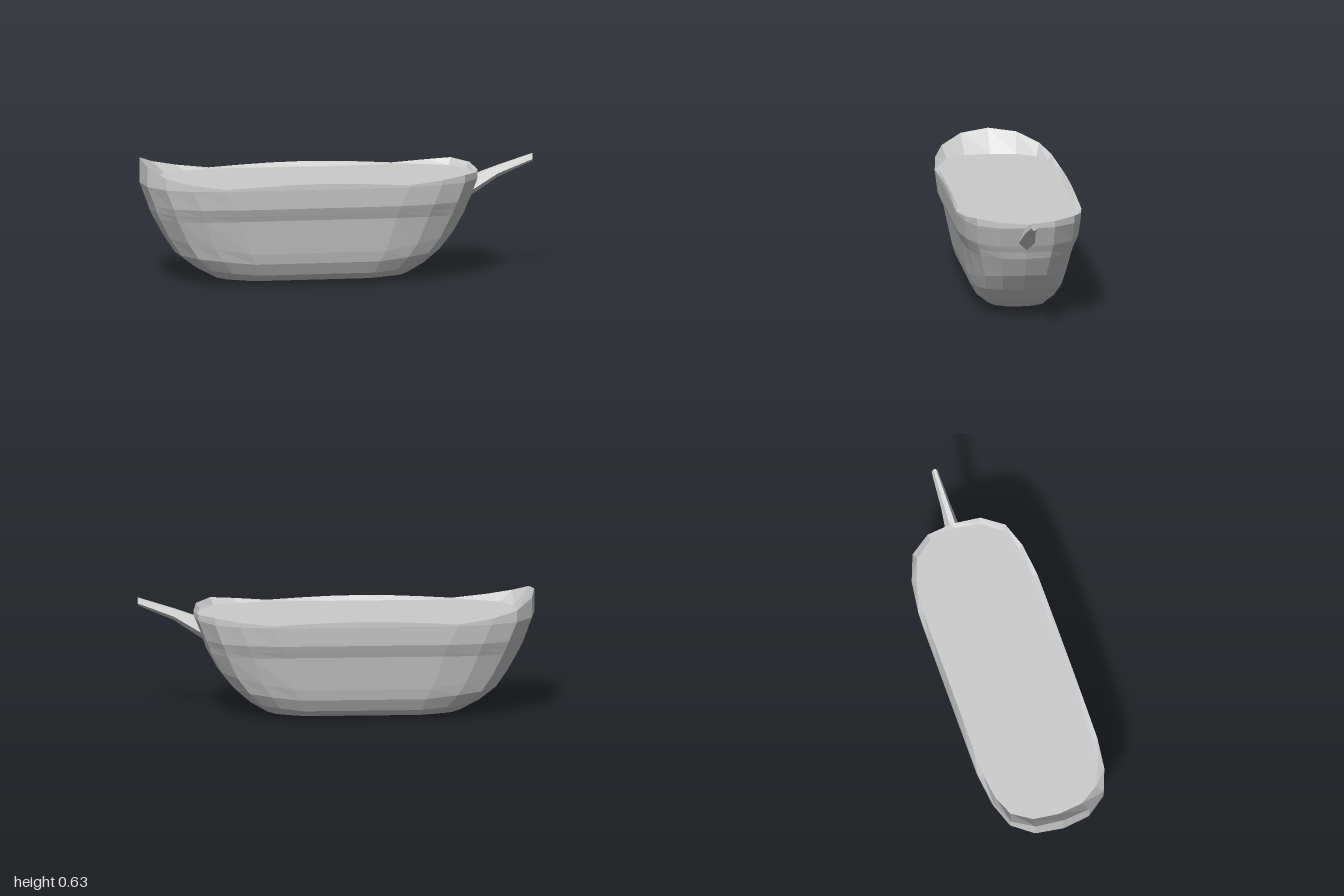
import * as THREE from 'three';

const material = new THREE.MeshStandardMaterial({ color: 0xcccccc, flatShading: true, side: THREE.DoubleSide });

// Joins equal-length closed rings into a skin, with optional flat caps
function loft(name, rings, capStart, capEnd) {
  const n = rings[0].length, pos = rings.flat(2), index = [];
  for (let r = 0; r < rings.length - 1; r++) {
    for (let i = 0; i < n; i++) {
      const a = r * n + i, b = r * n + (i + 1) % n;
      index.push(a, a + n, b, b, a + n, b + n);
    }
  }
  const cap = (r, flip) => {
    const c = pos.length / 3;
    for (let k = 0; k < 3; k++) pos.push(rings[r].reduce((s, p) => s + p[k], 0) / n);
    for (let i = 0; i < n; i++) {
      const a = r * n + i, b = r * n + (i + 1) % n;
      index.push(c, flip ? b : a, flip ? a : b);
    }
  };
  if (capStart) cap(0, false);
  if (capEnd) cap(rings.length - 1, true);
  const g = new THREE.BufferGeometry();
  g.setAttribute('position', new THREE.Float32BufferAttribute(pos, 3));
  g.setIndex(index);
  g.computeVertexNormals();
  const mesh = new THREE.Mesh(g, material);
  mesh.name = name;
  return mesh;
}

// Rounded end in plan: how far along, how wide, and the rim height there
const along = [0, 0.43, 0.75, 0.95, 1];
const wide = [1, 0.93, 0.78, 0.445, 0];
const bowRim = [0.517, 0.54, 0.57, 0.612, 0.63];
const sternRim = [0.517, 0.533, 0.549, 0.543, 0.532];
const SIDE = 6;

// Closed plan outline, starting at the bow tip and running along +z to the stern and back
function outline({ xl, xr, sl, sr, z, y, ye, rim }) {
  const half = [];
  const end = (tip, start, heights, i) => half.push([
    start + (tip - start) * along[i],
    rim ? heights[i] : y + (ye - y) * along[i],
    z * wide[i],
  ]);
  for (let i = 4; i >= 0; i--) end(xl, sl, bowRim, i);
  for (let i = 1; i < SIDE; i++) {
    const t = i / SIDE;
    half.push([sl + (sr - sl) * t, rim ? 0.517 + 0.019 * Math.sin(Math.PI * t) : y, z]);
  }
  for (let i = 0; i <= 4; i++) end(xr, sr, sternRim, i);
  const back = half.slice(1, -1).reverse().map(([x, h, w]) => [x, h, -w]);
  return [...half, ...back];
}

export function createModel() {
  const group = new THREE.Group();

  // Hull levels: bow x, stern x, straight side from, to, half width, side height, end height
  const levels = [
    [-0.46, 0.18, -0.38, 0.12, 0.05, 0, 0],
    [-0.49, 0.21, -0.39, 0.13, 0.11, 0.008, 0.006],
    [-0.63, 0.36, -0.41, 0.15, 0.157, 0.02, 0.025],
    [-0.73, 0.45, -0.42, 0.17, 0.197, 0.052, 0.08],
    [-0.82, 0.53, -0.44, 0.19, 0.232, 0.115, 0.15],
    [-0.88, 0.6, -0.47, 0.22, 0.247, 0.17, 0.24],
    [-0.935, 0.655, -0.53, 0.27, 0.281, 0.345, 0.34],
    [-0.95, 0.667, -0.54, 0.28, 0.294, 0.375, 0.375],
    [-0.962, 0.683, -0.55, 0.29, 0.308, 0.41, 0.41],
    [-1, 0.72, -0.6, 0.33, 0.317, 0.507, 0.512],
  ].map(([xl, xr, sl, sr, z, y, ye]) => outline({ xl, xr, sl, sr, z, y, ye }));

  // Raised rim, then the inner slope down to the deck
  const rim = outline({ xl: -1, xr: 0.72, sl: -0.6, sr: 0.33, z: 0.317, rim: true });
  const deckEdge = outline({ xl: -0.92, xr: 0.7, sl: -0.6, sr: 0.33, z: 0.292, y: 0.513, ye: 0.513 });
  group.add(loft('hull', [...levels, rim], true, false));
  group.add(loft('innerRim', [rim, deckEdge], false, false));
  group.add(loft('deck', [deckEdge], false, true));

  // Tapering keeled handle: x, top, shoulder and keel heights, top and shoulder half widths
  const handle = [
    [0.66, 0.49, 0.415, 0.38, 0.016, 0.044],
    [0.82, 0.547, 0.51, 0.487, 0.012, 0.026],
    [1, 0.605, 0.578, 0.565, 0.007, 0.016],
  ].map(([x, top, mid, keel, wt, wm]) => [
    [x, top, wt], [x, top, -wt], [x, mid, -wm], [x, keel, 0], [x, mid, wm],
  ].reverse());
  group.add(loft('handle', handle, true, true));

  return group;
}
